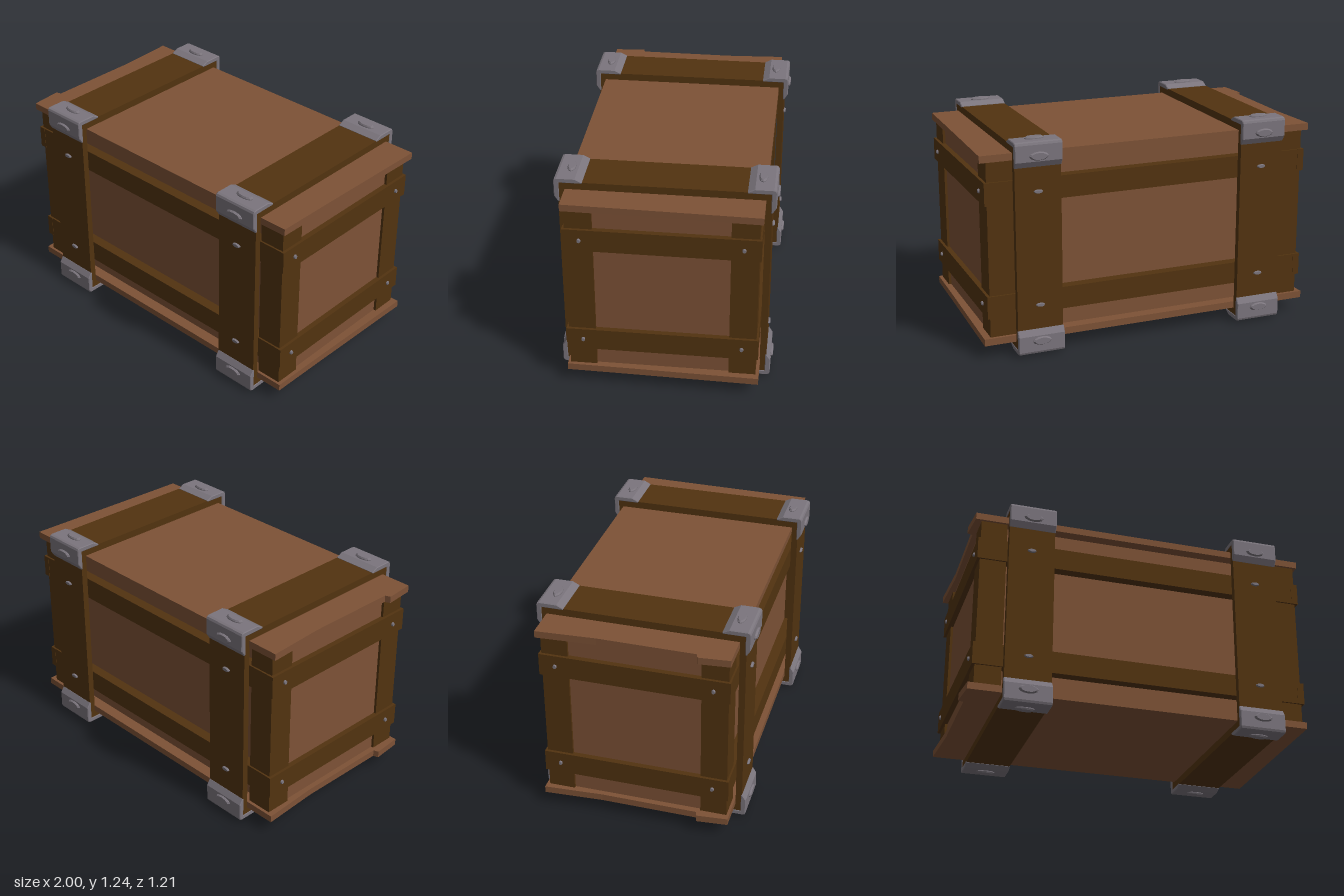
import * as THREE from 'three';

const mat = (name, color) => {
  const m = new THREE.MeshStandardMaterial({ color });
  m.name = name;
  return m;
};

export function createModel() {
  const root = new THREE.Group();
  root.name = 'crate';
  const wood = mat('lightWood', 0x7d5236);
  const dark = mat('darkWood', 0x523310);
  const metal = mat('metal', 0x7b757d);
  const SIGNS = [-1, 1];
  const CY = 0.6225; // mid height
  const CX = 0.005; // body centre

  const add = (name, geo, material, x = 0, y = 0, z = 0) => {
    const m = new THREE.Mesh(geo, material);
    m.name = name;
    m.position.set(x, y, z);
    root.add(m);
    return m;
  };
  const box = (name, material, w, h, d, x, y, z) =>
    add(name, new THREE.BoxGeometry(w, h, d), material, x, y, z);

  // Extrude a profile drawn in (z, y) along x, centred
  const extrudeX = (shape, width, bevel = 0) => {
    const depth = width - 2 * bevel;
    const geo = new THREE.ExtrudeGeometry(shape, {
      depth, bevelEnabled: bevel > 0, bevelThickness: bevel,
      bevelSize: bevel, bevelOffset: -bevel, bevelSegments: 1,
    });
    return geo.translate(0, 0, -depth / 2).rotateY(-Math.PI / 2);
  };

  // Low domed stud, base at the origin, pointing +y, long axis on x
  const stud = (rx, rz, h) => {
    const pts = [[1, -0.3], [1, 0.35], [0.8, 1], [0, 1]].map(([r, y]) => new THREE.Vector2(r, y * h));
    return new THREE.LatheGeometry(pts, 12).toNonIndexed().scale(rx, 1, rz);
  };
  const studGeo = (rx, rz, h) => {
    const g = stud(rx, rz, h);
    g.computeVertexNormals();
    return g;
  };

  // Inner box panels
  box('panels', wood, 1.88, 1.05, 0.94, CX, CY, 0);

  // Lid and base boards with worn ends
  const outline = [[-0.985, -0.538], [-0.966, -0.2], [-0.97, 0.35], [-1, 0.36],
    [-0.985, 0.535], [0.98, 0.535], [0.985, 0.2], [1, -0.538]];
  const boardGeo = new THREE.ExtrudeGeometry(
    new THREE.Shape(outline.map(([x, z]) => new THREE.Vector2(x, -z))),
    { depth: 0.04, bevelEnabled: false });
  boardGeo.rotateX(-Math.PI / 2);
  add('lidBoard', boardGeo, wood, 0, 1.127, 0);
  add('baseBoard', boardGeo, wood, 0, 0.082, 0);

  // Corner posts
  for (const sx of SIGNS) for (const sz of SIGNS)
    box('cornerPost', dark, 0.15, 1.02, 0.15, CX + sx * 0.88, CY + 0.002, sz * 0.445);

  // Horizontal slats on all sides, with nails on the ends
  const endNail = studGeo(0.013, 0.011, 0.01);
  for (const y of [0.3, 0.948]) {
    for (const s of SIGNS) {
      box('longSlat', dark, 1.92, 0.128, 0.07, CX, y, s * 0.495);
      box('endSlat', dark, 0.04, 0.13, 1.064, CX + s * 0.951, y, 0);
      for (const z of [-0.44, 0.44])
        add('endNail', endNail, metal, CX + s * 0.971, y, z).rotation.z = -s * Math.PI / 2;
    }
  }

  // Strap frames around the crate
  const rect = (Type, hz, hy) => new Type([[-hz, -hy], [hz, -hy], [hz, hy], [-hz, hy]]
    .map(([z, y]) => new THREE.Vector2(z, y)));
  const strapShape = rect(THREE.Shape, 0.572, 0.587);
  strapShape.holes.push(rect(THREE.Path, 0.536, 0.544));
  const strapGeo = extrudeX(strapShape, 0.264);

  // Metal corner bracket: L profile with rounded corner and tapered tips
  const profile = [[0.44, 0.58], [0.44, 0.589], [0.478, 0.609], [0.578, 0.609], [0.59, 0.604],
    [0.595, 0.592], [0.595, 0.5], [0.574, 0.466], [0.565, 0.466], [0.565, 0.58]];
  const rivetGeo = studGeo(0.055, 0.024, 0.013);
  const strapNail = studGeo(0.026, 0.011, 0.012);

  for (const x of [-0.665, 0.685]) {
    add('strap', strapGeo, dark, x, CY, 0);
    for (const sz of SIGNS) {
      for (const sy of SIGNS) {
        const shape = new THREE.Shape(profile.map(([z, y]) => new THREE.Vector2(sz * z, sy * y)));
        add('cornerBracket', extrudeX(shape, 0.27, 0.004), metal, x, CY, 0);
        // Rivets on the upright and flat faces of the bracket
        add('faceRivet', rivetGeo, metal, x, CY + sy * 0.53, sz * 0.594).rotation.x = sz * Math.PI / 2;
        add('flatRivet', rivetGeo, metal, x, CY + sy * 0.609, sz * 0.515).rotation.x = sy > 0 ? 0 : Math.PI;
        // Strap nails
        add('strapNail', strapNail, metal, x, sy > 0 ? 0.95 : 0.297, sz * 0.572).rotation.x = sz * Math.PI / 2;
      }
    }
  }
  return root;
}
